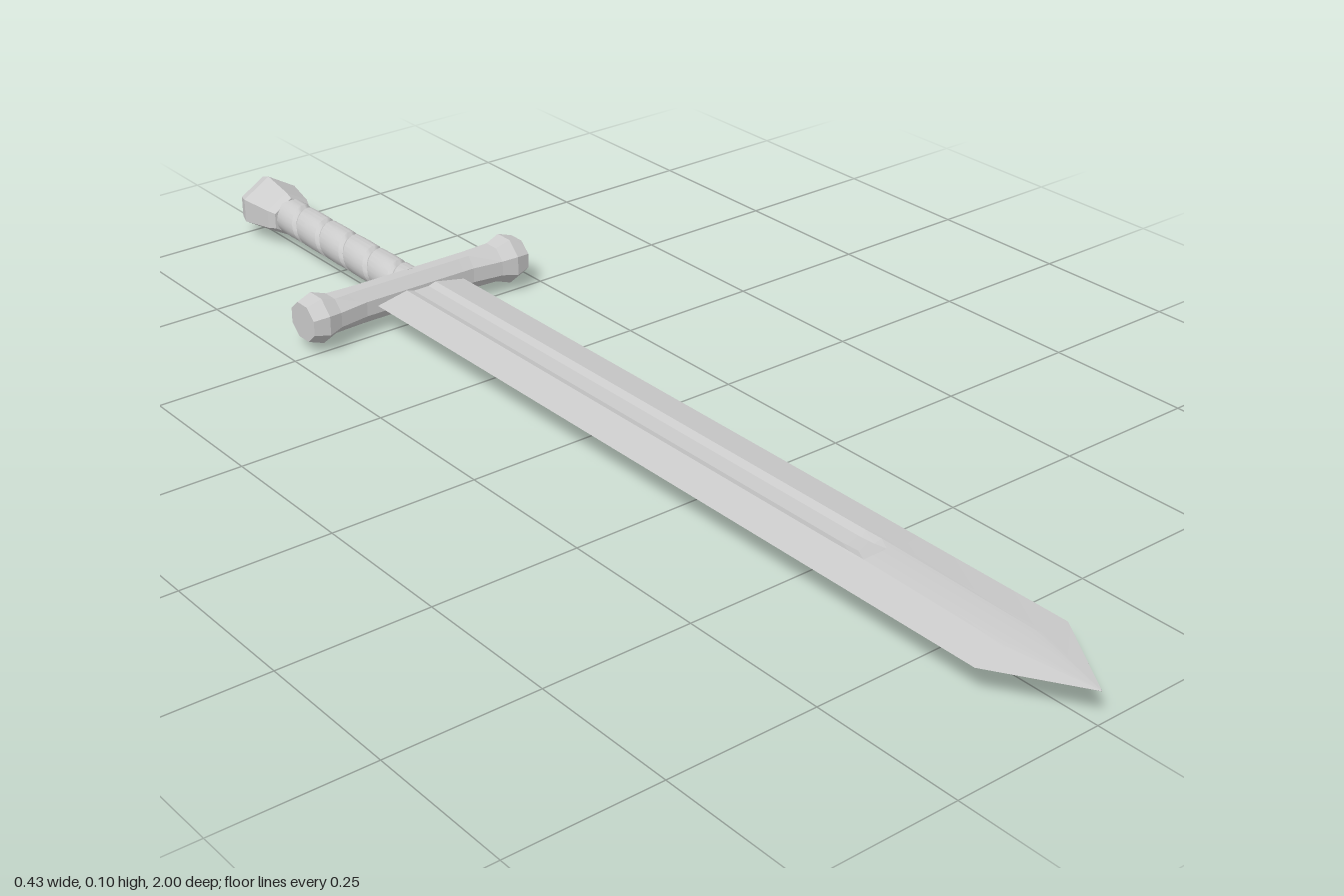
import * as THREE from 'three';
import { toCreasedNormals } from 'three/addons/utils/BufferGeometryUtils.js';

const CY = 0.0525; // height of the sword's long axis

// Skin a list of cross-sections (each a list of [x, y, z]) and cap both ends.
function loft(rings, { closed = true, caps = true, crease = 0.3 } = {}) {
  const n = rings[0].length, pos = rings.flat(2), index = [];
  const steps = closed ? n : n - 1;
  for (let i = 0; i < rings.length - 1; i++) {
    for (let j = 0; j < steps; j++) {
      const k = (j + 1) % n;
      const a = i * n + j, b = i * n + k, c = a + n, d = b + n;
      index.push(a, b, d, a, d, c);
    }
  }
  if (caps) {
    const last = (rings.length - 1) * n;
    for (let j = 1; j < n - 1; j++) {
      index.push(0, j + 1, j, last, last + j, last + j + 1);
    }
  }
  const g = new THREE.BufferGeometry();
  g.setAttribute('position', new THREE.Float32BufferAttribute(pos, 3));
  g.setIndex(index);
  return toCreasedNormals(g, crease);
}

function createBlade() {
  // z, half width, ridge height, groove height
  const stations = [
    [-0.51, 0.087, 0.0115, 0.007],
    [0.54, 0.087, 0.0115, 0.007],
    [0.575, 0.087, 0.012, 0.009],
    [0.6, 0.087, 0.012, 0.0125],
    [0.865, 0.087, 0.008, 0.009],
    [1.0, 0.0005, 0.0005, 0.0005],
  ];
  const rings = stations.map(([z, w, ridge, groove]) => {
    const s = w / 0.087;
    const upper = [
      [w, 0], [0.037 * s, ridge * 0.85], [0.029 * s, ridge], [0.015 * s, groove],
      [-0.015 * s, groove], [-0.029 * s, ridge], [-0.037 * s, ridge * 0.85],
    ];
    const lower = upper.map(([x, y]) => [-x, -y]);
    return [...upper, ...lower].map(([x, y]) => [x, CY + y, z]);
  });
  return loft(rings, { crease: 0.1 });
}

function createGuard() {
  // x, half height, half depth of an octagonal bar with flared ends
  const half = [[0.108, 0.031, 0.025], [0.163, 0.031, 0.033], [0.19, 0.04, 0.041], [0.217, 0.031, 0.034]];
  const stations = [...half.map(([x, h, d]) => [-x, h, d]).reverse(), ...half];
  const rings = stations.map(([x, h, d]) => {
    const ring = [];
    for (let j = 0; j < 8; j++) {
      const a = (j + 0.5) * Math.PI / 4, k = 1 / Math.cos(Math.PI / 8);
      ring.push([x, CY + h * k * Math.cos(a), -0.523 + d * k * Math.sin(a)]);
    }
    return ring;
  });
  return loft(rings, { crease: 0.1 });
}

function createGrip() {
  // Rings follow the helix, so the wrapped groove stays crisp
  const pitch = 0.075, sides = 24, rings = [];
  const wrap = [[0, 0.027], [0.1, 0.0315], [0.5, 0.032], [0.9, 0.0315]];
  for (let turn = -7; turn <= 2; turn++) {
    for (const [t, r] of wrap) {
      const ring = [];
      for (let j = 0; j <= sides; j++) {
        const a = j / sides * Math.PI * 2;
        const z = -0.583 + pitch * (turn + t + j / sides);
        ring.push([r * Math.cos(a), CY + r * Math.sin(a), THREE.MathUtils.clamp(z, -0.93, -0.53)]);
      }
      rings.push(ring);
    }
  }
  return loft(rings, { closed: false, caps: false, crease: 0.5 });
}

function createPommel() {
  // Six-sided flare with a bevelled end
  const section = [[1, -0.4], [1, 0.4], [0, 1], [-1, 0.4], [-1, -0.4], [0, -1]];
  const stations = [[-1, 0.046], [-0.98, 0.0525], [-0.92, 0.041], [-0.905, 0.035]];
  return loft(stations.map(([z, r]) => section.map(([x, y]) => [x * r, CY + y * r, z])), { crease: 0.1 });
}

export function createModel() {
  const group = new THREE.Group();
  group.name = 'sword';
  const metal = new THREE.MeshStandardMaterial({ color: 0xcccccc });
  const wrapMaterial = new THREE.MeshStandardMaterial({ color: 0xcccccc, side: THREE.DoubleSide });
  const add = (name, geometry, material = metal) => {
    const mesh = new THREE.Mesh(geometry, material);
    mesh.name = name;
    group.add(mesh);
  };
  add('blade', createBlade());
  add('crossGuard', createGuard());
  add('grip', createGrip(), wrapMaterial);
  add('pommel', createPommel());
  return group;
}
